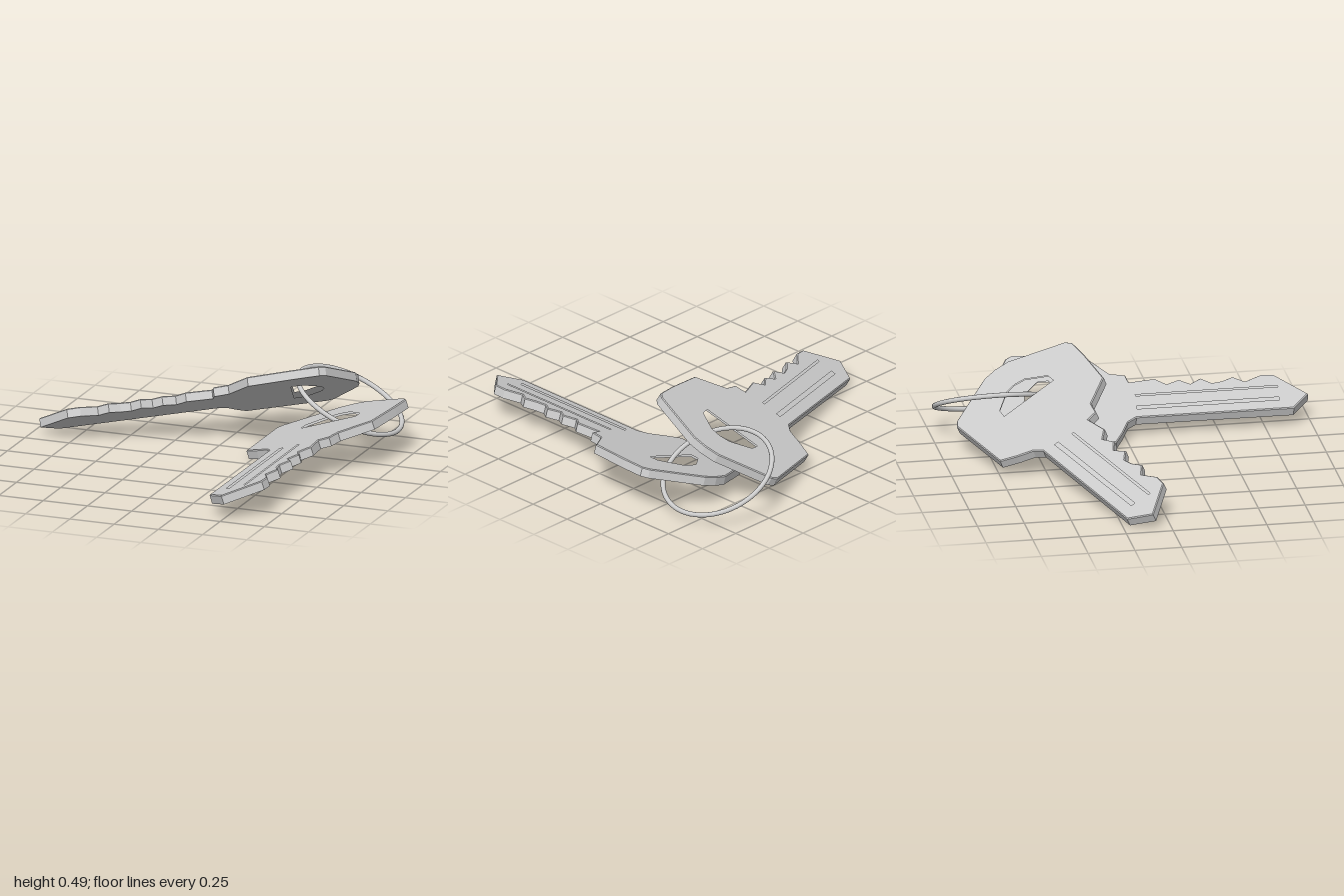
import * as THREE from 'three';

const THICKNESS = 0.05;
const TOP_LAYER = 0.02;
const GROOVE_DEPTH = 0.012;
const CHAMFER = 0.005;

// Key outline: u across the key, v along it towards the tip
const outline = [
  // bow, from the neck on the plain side round to the toothed side
  [-0.19, 0.06], [-0.225, 0.01], [-0.305, -0.03], [-0.385, -0.08],
  [-0.385, -0.51], [-0.362, -0.545], [-0.08, -0.69], [0, -0.7], [0.08, -0.69],
  [0.362, -0.545], [0.385, -0.51], [0.375, -0.37], [0.342, -0.13],
  [0.185, -0.02], [0.165, 0.06], [0.105, 0.07],
  // teeth
  [0.12, 0.21], [0.07, 0.265], [0.1, 0.335], [0.06, 0.39], [0.1, 0.45],
  [0.055, 0.505], [0.065, 0.56], [0.095, 0.62], [0.05, 0.68], [0.095, 0.77],
  // tip
  [0.09, 0.84], [-0.085, 0.995], [-0.195, 0.9],
];

const ringHole = [
  [-0.18, -0.345], [-0.17, -0.41], [-0.06, -0.5], [0, -0.512],
  [0.06, -0.5], [0.16, -0.41], [0.16, -0.345],
];

const groove = (u, width, v0, v1) => [[u, v0], [u + width, v0], [u + width, v1], [u, v1]];
const grooves = [groove(-0.128, 0.034, 0.07, 0.84), groove(-0.02, 0.022, 0.08, 0.85)];

const toPoints = (list) => list.map(([u, v]) => new THREE.Vector2(u, -v));

function makeShape(holes) {
  const shape = new THREE.Shape(toPoints(outline));
  for (const hole of holes) shape.holes.push(new THREE.Path(toPoints(hole)));
  return shape;
}

function makeKey(name, material, origin, across, along) {
  const key = new THREE.Group();
  key.name = name;

  // solid lower body, whose top forms the groove floor
  const body = new THREE.ExtrudeGeometry(makeShape([ringHole]), {
    depth: THICKNESS - GROOVE_DEPTH, bevelEnabled: false,
  });
  body.translate(0, 0, -THICKNESS);
  const bodyMesh = new THREE.Mesh(body, material);
  bodyMesh.name = 'keyBody';

  // chamfered upper layer with the blade grooves cut through it
  const face = new THREE.ExtrudeGeometry(makeShape([ringHole, ...grooves]), {
    depth: TOP_LAYER - 2 * CHAMFER, bevelEnabled: true, bevelSegments: 1,
    bevelThickness: CHAMFER, bevelSize: CHAMFER, bevelOffset: -CHAMFER,
  });
  face.translate(0, 0, CHAMFER - TOP_LAYER);
  const faceMesh = new THREE.Mesh(face, material);
  faceMesh.name = 'groovedFace';
  key.add(bodyMesh, faceMesh);

  // orient the key on its tilted plane
  const u = new THREE.Vector3(...across).normalize();
  const back = new THREE.Vector3(...along).negate();
  back.addScaledVector(u, -back.dot(u)).normalize();
  const normal = new THREE.Vector3().crossVectors(u, back);
  key.quaternion.setFromRotationMatrix(new THREE.Matrix4().makeBasis(u, back, normal));
  key.position.set(...origin);
  return key;
}

export function createModel() {
  const model = new THREE.Group();
  model.name = 'keysOnRing';
  const metal = new THREE.MeshStandardMaterial({ color: 0xcccccc });

  model.add(
    makeKey('upperKey', metal, [-0.02, 0.256, -0.397], [0.276, 0.454, 0.847], [-0.92, -0.132, 0.37]),
    makeKey('lowerKey', metal, [0.585, 0.171, 0], [0.949, 0.314, 0], [0, 0, 1]),
  );

  // split ring through both bows
  const ring = new THREE.Mesh(new THREE.TorusGeometry(0.302, 0.013, 12, 64), metal);
  ring.name = 'keyRing';
  ring.geometry.rotateX(Math.PI / 2);
  ring.rotation.z = -0.47;
  ring.position.set(0.565, 0.19, -0.685);
  model.add(ring);

  return model;
}
